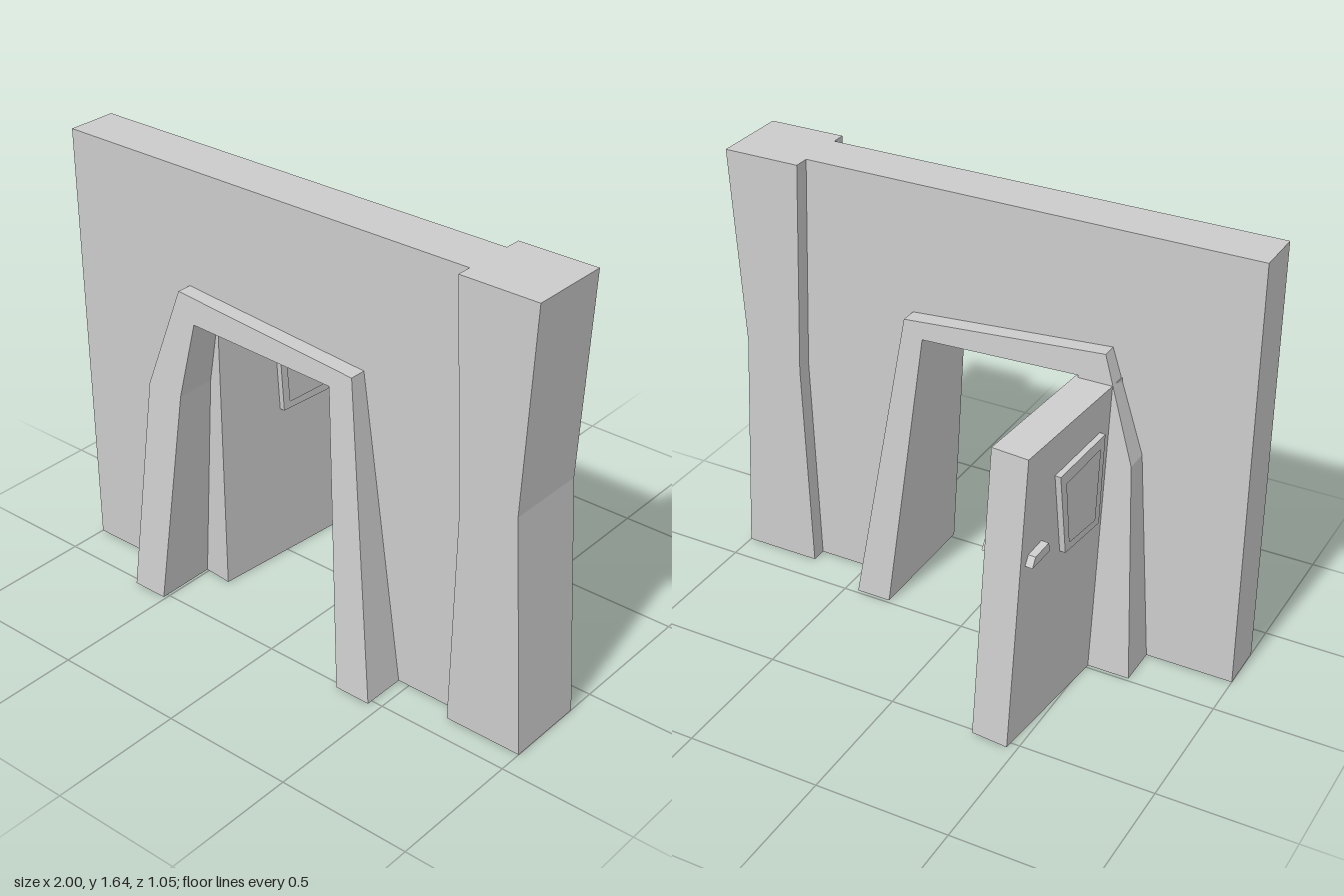
import * as THREE from 'three';

const material = new THREE.MeshStandardMaterial({ color: 0xcccccc, flatShading: true });

// Extrudes an outline of [x, y] points between z0 and z1, with an optional hole.
function slab(name, points, z0, z1, hole) {
  const toVectors = (list) => list.map(([x, y]) => new THREE.Vector2(x, y));
  const shape = new THREE.Shape(toVectors(points));
  if (hole) shape.holes.push(new THREE.Path(toVectors(hole)));
  const geometry = new THREE.ExtrudeGeometry(shape, { depth: z1 - z0, bevelEnabled: false });
  geometry.translate(0, 0, z0);
  const mesh = new THREE.Mesh(geometry, material);
  mesh.name = name;
  return mesh;
}

// Leans the outer face of a slab: z depends on height for vertices on the given side.
function leanFace(mesh, isOuter, zAtHeight) {
  const p = mesh.geometry.attributes.position;
  for (let i = 0; i < p.count; i++) {
    if (isOuter(p.getZ(i))) p.setZ(i, zAtHeight(p.getY(i)));
  }
  mesh.geometry.computeVertexNormals();
  return mesh;
}

export function createModel() {
  const model = new THREE.Group();
  model.name = 'wallWithDoor';
  const height = 1.645;

  // Doorway outlines, running from the right foot over the top to the left foot
  const inner = [[-0.51, 0], [-0.445, 0.83], [-0.39, 1.115], [0.21, 1.095], [0.315, 0]];
  const outerFront = [[-0.65, 0], [-0.595, 0.83], [-0.465, 1.215], [0.3, 1.155], [0.455, 0]];
  const outerBack = [[-0.67, 0], [-0.61, 0.83], [-0.485, 1.215], [0.285, 1.155], [0.45, 0]];
  const opening = inner.map(([x, y], i) => [(x + outerBack[i][0]) / 2, (y + outerBack[i][1]) / 2]);

  // Wall, cut out under the door frame, and the pinched end pillar
  const pillarInnerEdge = [[0.705, 0], [0.733, 0.83], [0.705, height]];
  model.add(slab('wall',
    [[-1, 0], ...opening, ...pillarInnerEdge, [-1, height]], 0.17, 0.355));
  model.add(slab('pillar',
    [...pillarInnerEdge, [1, height], [0.955, 0.9], [1, 0]], 0.11, 0.41));

  // Door frame: front and back halves, both thicker at the foot
  const ring = (outer) => [...outer, ...[...inner].reverse()];
  const mid = 0.26;
  model.add(leanFace(slab('frontDoorFrame', ring(outerFront), mid, 0.5),
    (z) => z > mid + 0.1, (y) => 0.52 - 0.09 * y));
  model.add(leanFace(slab('backDoorFrame', ring(outerBack), 0, mid),
    (z) => z < mid - 0.1, (y) => 0.013 + 0.081 * y));

  // Open door, drawn from the hinge outwards and swung behind the wall
  const door = new THREE.Group();
  door.name = 'door';
  const thickness = 0.14;
  door.add(slab('doorLeaf', [[0, 0], [0.818, 0], [0.713, 1.09], [0, 1.113]], -thickness, 0));

  // Raised window surround on both faces of the leaf
  door.add(slab('windowSurround',
    [[0.26, 0.965], [0.547, 0.945], [0.502, 0.625], [0.28, 0.622]],
    -thickness - 0.022, 0.022,
    [[0.29, 0.92], [0.507, 0.9], [0.477, 0.655], [0.31, 0.65]]));

  // Handles on both faces
  const grip = [[0.622, 0.735], [0.703, 0.725], [0.722, 0.69], [0.612, 0.7]];
  door.add(slab('rightHandle', grip, -0.01, 0.028));
  door.add(slab('leftHandle', grip, -thickness - 0.028, -thickness + 0.01));

  door.position.set(-0.395, 0, 0.3);
  door.rotation.y = Math.PI / 2 - 0.086;
  model.add(door);

  return model;
}
